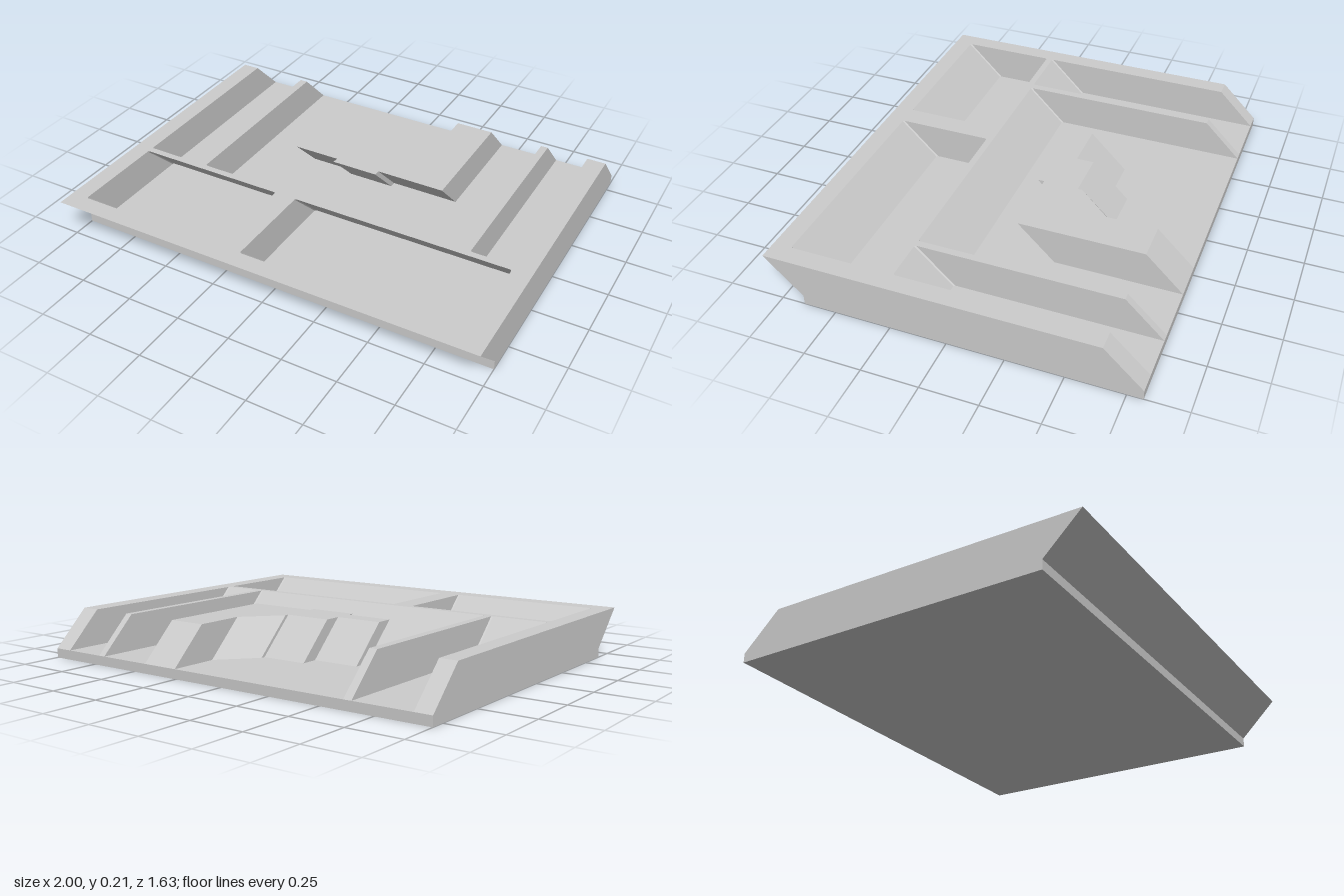
import * as THREE from 'three';

const FLOOR = 0.043, RISE = 0.166;   // slab thickness, wall height
const LEAN = 0.169;                  // how far the wall tops lean forward
const BACK = -0.648, FRONT = 0.815;  // wall extent in z, measured along the wall tops

// Outline from [x, z] points
const outline = (points, Type = THREE.Shape) =>
  new Type(points.map(([x, z]) => new THREE.Vector2(x, -z)));

// Rectangular opening with slightly clipped corners, wound opposite to the walls
function room(x0, x1, z0, z1, c = 0.006) {
  return outline([
    [x0, z0 + c], [x0, z1 - c], [x0 + c, z1], [x1 - c, z1],
    [x1, z1 - c], [x1, z0 + c], [x1 - c, z0], [x0 + c, z0],
  ], THREE.Path);
}

// Extrude a plan upwards and lean it forward
function leaningWall(shape) {
  const g = new THREE.ExtrudeGeometry(shape, { depth: RISE, bevelEnabled: false });
  g.rotateX(-Math.PI / 2);
  const p = g.attributes.position;
  for (let i = 0; i < p.count; i++) p.setZ(i, p.getZ(i) + LEAN * (p.getY(i) / RISE - 1));
  g.translate(0, FLOOR, 0);
  g.computeVertexNormals();
  return g;
}

export function createModel() {
  const group = new THREE.Group();
  const material = new THREE.MeshStandardMaterial({ color: 0xcccccc, flatShading: true });
  const add = (name, geometry) => {
    const mesh = new THREE.Mesh(geometry, material);
    mesh.name = name;
    group.add(mesh);
  };

  // Floor slab
  const slab = new THREE.BoxGeometry(2, FLOOR, FRONT - BACK);
  slab.translate(0, FLOOR / 2, (FRONT + BACK) / 2 - LEAN);
  add('floorSlab', slab);

  // Outer walls and partitions: three bays open at the back, two closed rooms in front
  const bays = [[-0.92, -0.65], [-0.613, 0.685], [0.718, 0.913]];
  const bayFront = 0.262, c = 0.006;
  const plan = [[-1, FRONT], [-1, BACK]];
  for (const [x0, x1] of bays) {
    plan.push([x0, BACK], [x0, bayFront - c], [x0 + c, bayFront],
      [x1 - c, bayFront], [x1, bayFront - c], [x1, BACK]);
  }
  plan.push([1, BACK], [1, FRONT]);
  const walls = outline(plan);
  walls.holes.push(room(-0.92, -0.213, 0.293, 0.732), room(-0.11, 0.913, 0.293, 0.732));
  add('walls', leaningWall(walls));

  // Stepped block standing in the middle bay
  add('centreBlock', leaningWall(outline([
    [-0.33, -0.08], [-0.33, -0.16], [-0.11, -0.16], [-0.11, -0.24], [0.108, -0.24],
    [0.108, -0.26], [0.253, -0.42], [0.253, BACK], [0.43, BACK], [0.43, -0.08],
    [0.108, -0.08], [0.108, -0.05], [-0.11, -0.05], [-0.11, -0.08],
  ])));

  return group;
}
